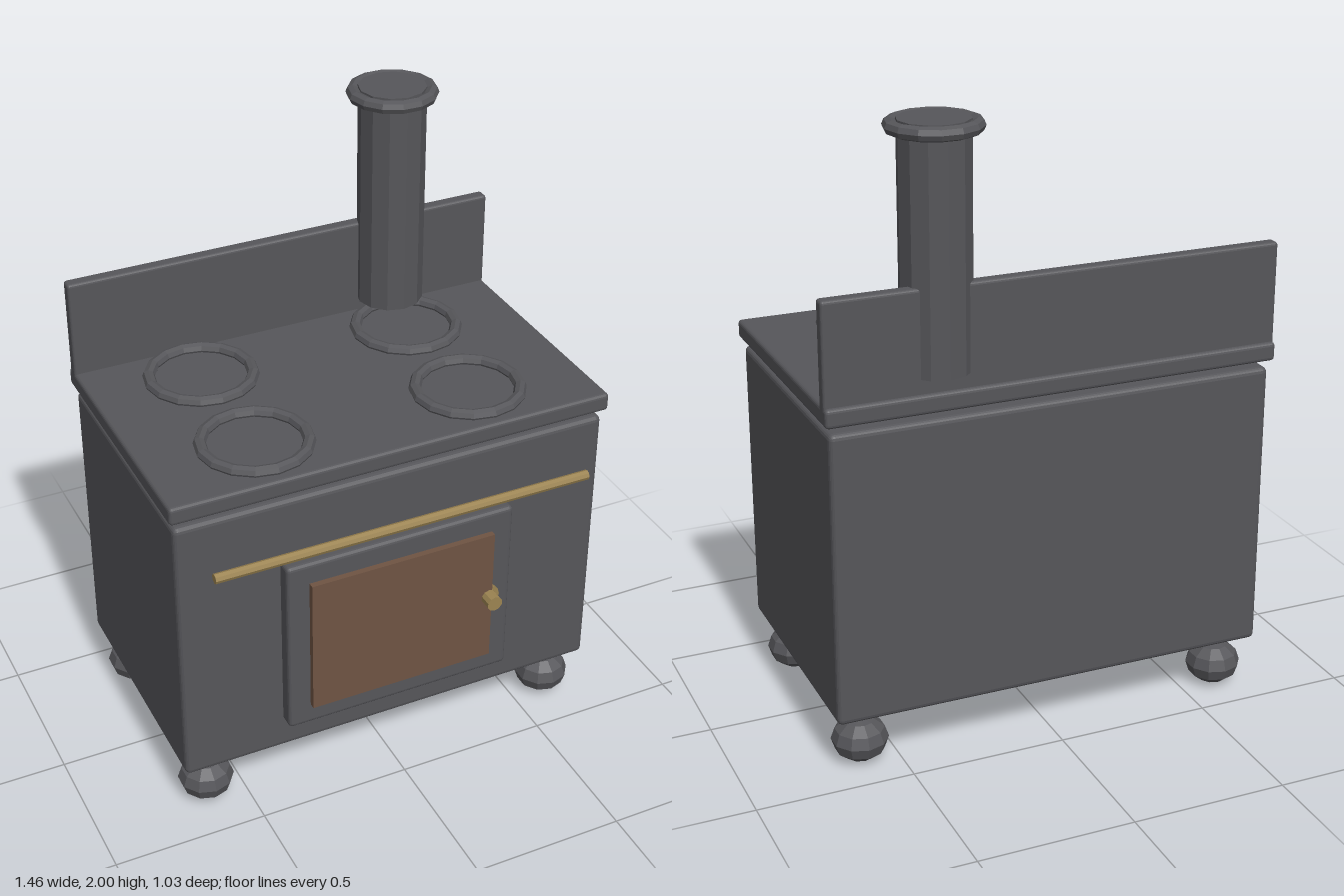
import * as THREE from 'three';
import { RoundedBoxGeometry } from 'three/addons/geometries/RoundedBoxGeometry.js';

const paint = (color) => new THREE.MeshStandardMaterial({ color, flatShading: true });

export function createModel() {
  const model = new THREE.Group();
  model.name = 'stove';
  const iron = paint(0x56565a);
  const copper = paint(0x6f5443);
  const brass = paint(0x9c8452);

  const add = (name, geometry, material, x, y, z) => {
    const mesh = new THREE.Mesh(geometry, material);
    mesh.name = name;
    mesh.position.set(x, y, z);
    model.add(mesh);
    return mesh;
  };

  // Box with softened edges, given by its limits on each axis
  const block = (name, material, [x0, x1], [y0, y1], [z0, z1], radius) =>
    add(name, new RoundedBoxGeometry(x1 - x0, y1 - y0, z1 - z0, 2, radius), material,
      (x0 + x1) / 2, (y0 + y1) / 2, (z0 + z1) / 2);

  // Flat-lying ring
  const ring = (name, radius, tube, sides, x, y, z) =>
    add(name, new THREE.TorusGeometry(radius, tube, 8, sides).rotateX(Math.PI / 2), iron, x, y, z);

  // Oven body, cooktop and splashback
  block('body', iron, [-0.72, 0.716], [0.18, 1.125], [-0.44, 0.408], 0.018);
  block('cooktop', iron, [-0.733, 0.73], [1.15, 1.21], [-0.455, 0.42], 0.012);
  block('splashback', iron, [-0.733, 0.73], [1.17, 1.528], [-0.44, -0.396], 0.01);

  // Door with inset panel
  block('doorFrame', iron, [-0.388, 0.384], [0.29, 0.912], [0.38, 0.458], 0.014);
  add('doorPanel', new THREE.BoxGeometry(0.625, 0.475, 0.04), copper, -0.003, 0.602, 0.458);

  // Door knob: rose plate and stem
  const rod = (r, length, sides) => new THREE.CylinderGeometry(r, r, length, sides);
  add('knobRose', rod(0.037, 0.025, 12).rotateX(Math.PI / 2), brass, 0.3, 0.6, 0.462);
  add('doorKnob', rod(0.026, 0.065, 10).rotateX(Math.PI / 2), brass, 0.298, 0.6, 0.487);

  // Towel rail
  add('rail', rod(0.016, 1.256, 8).rotateZ(Math.PI / 2), brass, -0.002, 0.978, 0.485);

  // Burner rings
  for (const x of [-0.376, 0.345]) {
    for (const z of [-0.22, 0.205]) ring('burner', 0.165, 0.02, 16, x, 1.217, z);
  }

  // Flue pipe and collar
  add('fluePipe', rod(0.109, 0.744, 12), iron, 0.358, 1.627, -0.368);
  ring('flueCollar', 0.125, 0.022, 14, 0.358, 1.978, -0.368);

  // Ball feet
  const ball = new THREE.SphereGeometry(0.09, 10, 6).rotateY(Math.PI / 2).scale(1, 0.79, 1);
  for (const x of [-0.622, 0.617]) {
    for (const z of [-0.34, 0.312]) add('foot', ball, iron, x, 0.0711, z);
  }

  return model;
}
